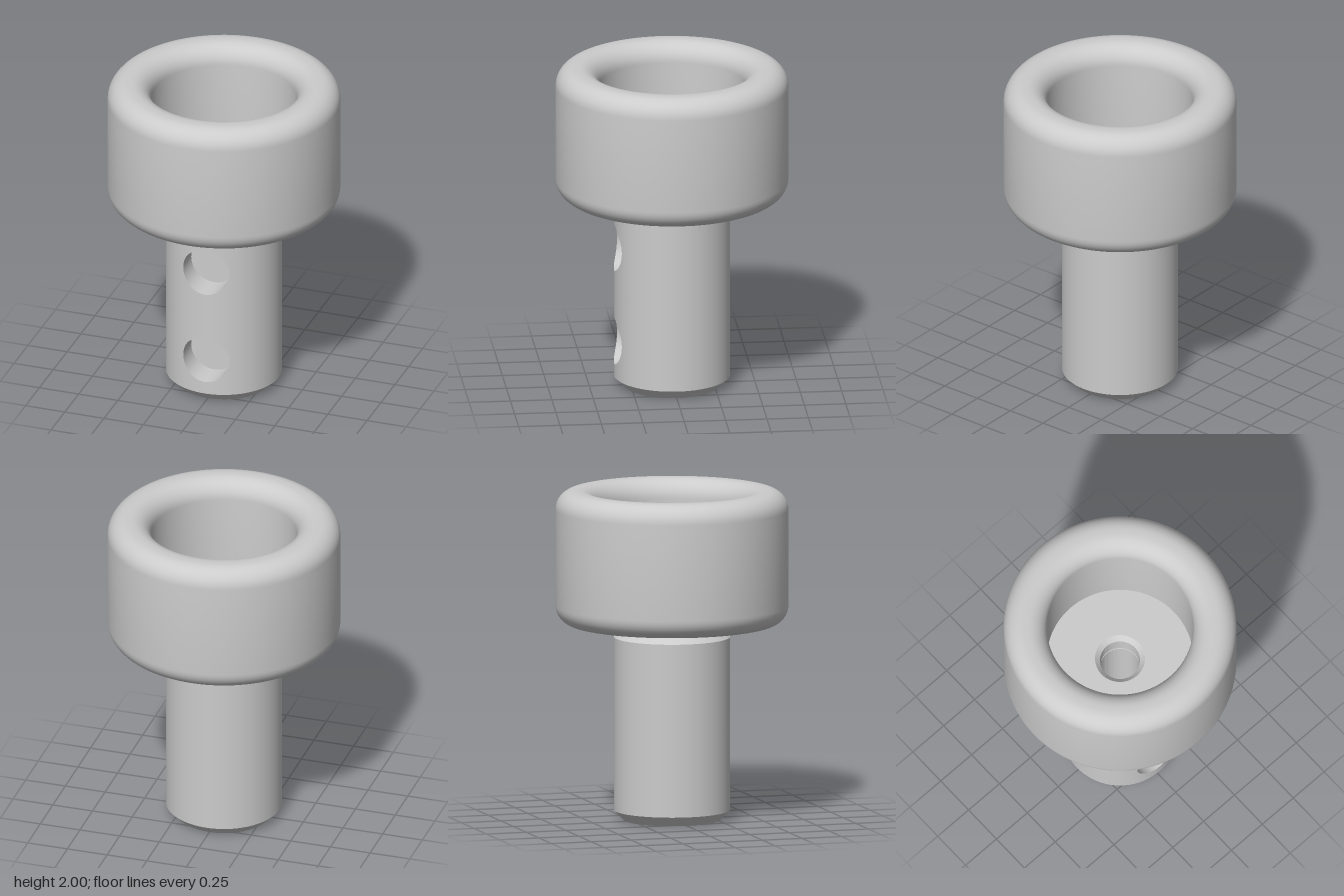
import * as THREE from 'three';
import { toCreasedNormals } from 'three/addons/utils/BufferGeometryUtils.js';
import { ParametricGeometry } from 'three/addons/geometries/ParametricGeometry.js';

const material = new THREE.MeshStandardMaterial({ color: 0xcccccc });

const R = 0.35;            // shaft radius
const BORE = 0.12;         // centre bore radius
const SHAFT_TOP = 1.17;
const CHAMFER = 0.06;
const HOLE_R = 0.147;      // blind side holes
const HOLE_FLOOR = 0.175;
const CAP_BOTTOM = 1.185;
const CAP_FLOOR = 1.33;
const FILLET = 0.117;

function part(name, geometry) {
  const mesh = new THREE.Mesh(geometry, material);
  mesh.name = name;
  return mesh;
}

function lathe(name, profile) {
  const points = profile.map(([r, y]) => new THREE.Vector2(r, y));
  return part(name, toCreasedNormals(new THREE.LatheGeometry(points, 96), 0.5));
}

// Quarter-round profile points about (r, y), from angle a in degrees
function fillet(r, y, a, steps = 10) {
  return Array.from({ length: steps + 1 }, (_, i) => {
    const t = THREE.MathUtils.degToRad(a + (90 * i) / steps);
    return [r + FILLET * Math.cos(t), y + FILLET * Math.sin(t)];
  });
}

const onShaft = (x) => Math.sqrt(R * R - x * x);

// Front quarter of the shaft wall between y = low and high, with one blind hole
function holePanel(y, low, high) {
  const group = new THREE.Group();
  group.name = 'holePanel';
  const halfWidth = R * Math.SQRT1_2;

  const wall = new ParametricGeometry((u, v, target) => {
    const a = u * Math.PI * 2, c = Math.cos(a), s = Math.sin(a);
    const m = Math.max(Math.abs(c), Math.abs(s));
    const edgeX = (halfWidth * c) / m;
    const edgeY = y + (s / m) * (s > 0 ? high - y : y - low);
    const x = THREE.MathUtils.lerp(edgeX, HOLE_R * c, v);
    target.set(x, THREE.MathUtils.lerp(edgeY, y + HOLE_R * s, v), onShaft(x));
  }, 96, 8);
  // Exact cylinder normals keep the panel flush with the rest of the shaft
  const p = wall.attributes.position, n = wall.attributes.normal;
  for (let i = 0; i < p.count; i++) n.setXYZ(i, p.getX(i) / R, 0, p.getZ(i) / R);

  const side = new ParametricGeometry((u, v, target) => {
    const a = u * Math.PI * 2, x = HOLE_R * Math.cos(a);
    target.set(x, y + HOLE_R * Math.sin(a), THREE.MathUtils.lerp(onShaft(x), HOLE_FLOOR, v));
  }, 96, 2);

  const floor = part('holeFloor', new THREE.CircleGeometry(HOLE_R, 96));
  floor.position.set(0, y, HOLE_FLOOR);
  group.add(part('shaftFront', wall), part('holeSide', side), floor);
  return group;
}

export function createModel() {
  const model = new THREE.Group();
  model.name = 'knob';

  // Shaft: chamfered ends, bore, and a wall split around the two side holes
  const shaft = new THREE.Group();
  shaft.name = 'shaft';
  const bodyLow = CHAMFER, bodyHigh = SHAFT_TOP - CHAMFER, middle = 0.58;
  const back = part('shaftBack', new THREE.CylinderGeometry(
    R, R, bodyHigh - bodyLow, 72, 1, true, Math.PI / 4, Math.PI * 1.5));
  back.position.y = (bodyLow + bodyHigh) / 2;
  shaft.add(
    lathe('shaftBottom', [[BORE, 0], [R - CHAMFER, 0], [R, bodyLow]]),
    lathe('shaftTopAndBore', [[R, bodyHigh], [R - CHAMFER, SHAFT_TOP], [BORE, SHAFT_TOP], [BORE, 0]]),
    back,
    holePanel(0.285, bodyLow, middle),
    holePanel(0.875, middle, bodyHigh),
  );

  // Cup: rounded rim, deep recess, countersunk hole in its floor
  const outer = 0.7, inner = 0.44;
  const cup = lathe('cup', [
    [BORE, CAP_BOTTOM],
    ...fillet(outer - FILLET, CAP_BOTTOM + FILLET, -90),
    ...fillet(outer - FILLET, 2 - FILLET, 0),
    ...fillet(inner + FILLET, 2 - FILLET, 90),
    [inner, CAP_FLOOR],
    [BORE + 0.03, CAP_FLOOR],
    [BORE, CAP_FLOOR - 0.03],
    [BORE, CAP_BOTTOM],
  ]);

  model.add(shaft, cup);
  return model;
}
